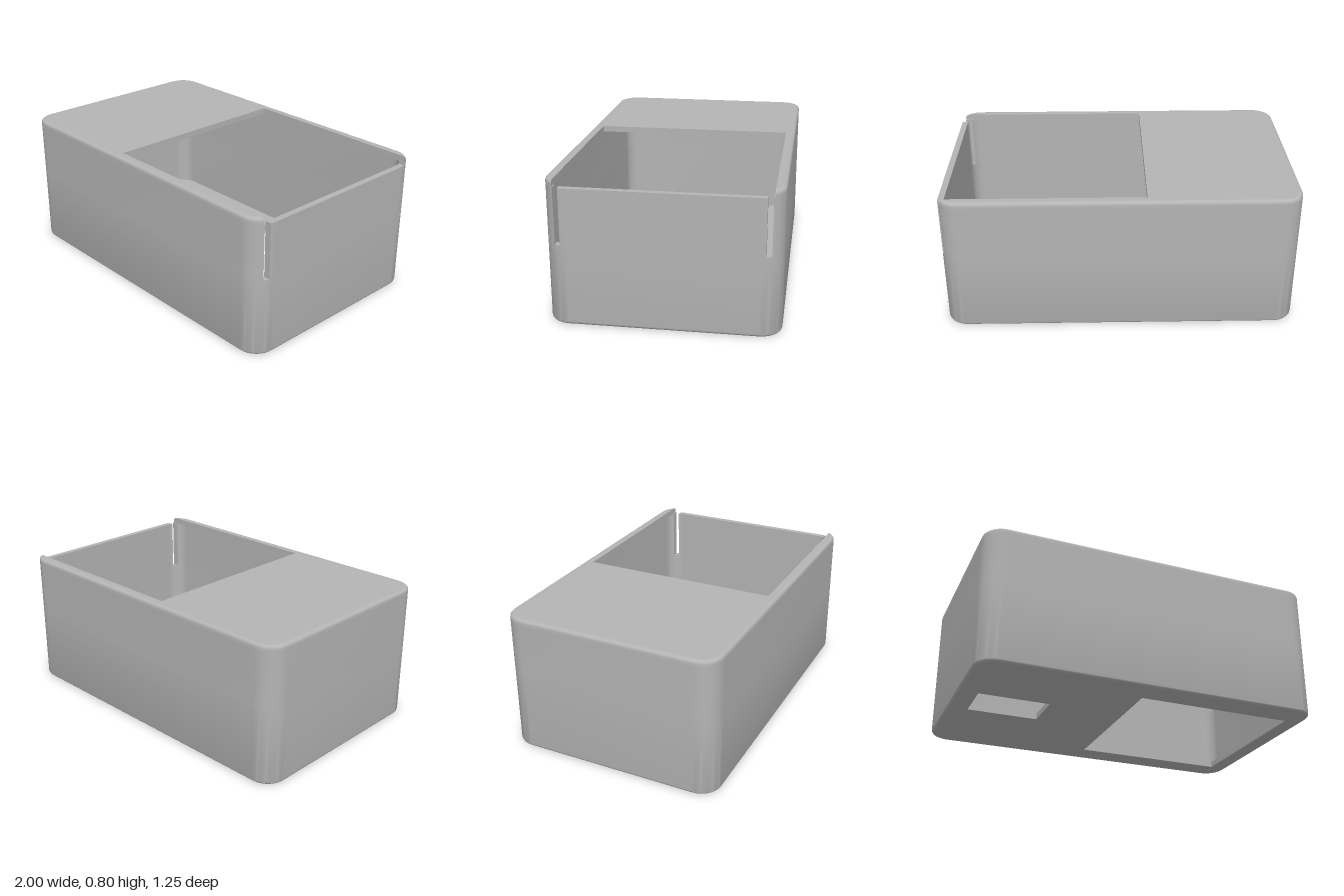
import * as THREE from 'three';
import { toCreasedNormals } from 'three/addons/utils/BufferGeometryUtils.js';

const HALF_X = 1, HALF_Z = 0.625, HEIGHT = 0.8;
const CORNER = 0.12, WALL = 0.035, EDGE = 0.02, STEPS = 12;
const SLOT_BOTTOM = 0.45, TAB_TOP = 0.765;

// Rounded footprint as [x, z] points, running from (+x, zEnd) all round to (+x, -zEnd)
function outline(inset, zEnd) {
  const r = CORNER - inset, cx = HALF_X - CORNER, cz = HALF_Z - CORNER;
  const start = zEnd > cz ? Math.asin((zEnd - cz) / r) : 0;
  const arc = (sx, sz, from, to) => Array.from({ length: STEPS + 1 }, (_, i) => {
    const a = from + (to - from) * i / STEPS;
    return [sx * cx + r * Math.cos(a), sz * cz + r * Math.sin(a)];
  });
  const h = Math.PI / 2;
  const points = [
    ...arc(1, 1, start, h), ...arc(-1, 1, h, 2 * h),
    ...arc(-1, -1, 2 * h, 3 * h), ...arc(1, -1, 3 * h, 4 * h - start),
  ];
  if (zEnd < cz) {
    points.unshift([HALF_X - inset, zEnd]);
    points.push([HALF_X - inset, -zEnd]);
  }
  return points;
}

// Sweeps a closed, convex [inset, y] profile round the footprint
function sweepWall(profile, zEnd) {
  const rails = profile.map(([inset, y]) => outline(inset, zEnd).map(([x, z]) => [x, y, z]));
  const pos = [], n = profile.length, last = rails[0].length - 1;
  const tri = (a, b, c) => pos.push(...a, ...b, ...c);
  for (let j = 0; j < n; j++) {
    const lo = rails[j], hi = rails[(j + 1) % n];
    for (let i = 0; i < last; i++) {
      tri(lo[i], hi[i], lo[i + 1]);
      tri(hi[i], hi[i + 1], lo[i + 1]);
    }
  }
  // end caps, only where the wall is open
  if (zEnd > 0) {
    for (let j = 1; j < n - 1; j++) {
      tri(rails[0][0], rails[j + 1][0], rails[j][0]);
      tri(rails[0][last], rails[j][last], rails[j + 1][last]);
    }
  }
  const g = new THREE.BufferGeometry();
  g.setAttribute('position', new THREE.Float32BufferAttribute(pos, 3));
  return toCreasedNormals(g, 0.5);
}

// Quarter-round edge as [inset, y] points, from the flat side to the vertical side
function roundEdge(y0, dir) {
  return Array.from({ length: 6 }, (_, i) => {
    const a = (i / 5) * Math.PI / 2;
    return [EDGE * (1 - Math.sin(a)), y0 + dir * EDGE * (1 - Math.cos(a))];
  });
}

// Horizontal plate from [x, z] points, between two heights
function plate(points, bottom, top, holes = []) {
  const toVectors = list => list.map(([x, z]) => new THREE.Vector2(x, z));
  const shape = new THREE.Shape(toVectors(points));
  holes.forEach(hole => shape.holes.push(new THREE.Path(toVectors(hole))));
  const g = new THREE.ExtrudeGeometry(shape, { depth: top - bottom, bevelEnabled: false });
  return g.rotateX(Math.PI / 2).translate(0, top, 0);
}

const rect = (x0, x1, z0, z1) => [[x0, z0], [x0, z1], [x1, z1], [x1, z0]];

export function createModel() {
  const group = new THREE.Group();
  group.name = 'enclosure';
  const grey = new THREE.MeshStandardMaterial({ color: 0xb4b4b4 });
  grey.name = 'grey plastic';
  const add = (name, geometry) => {
    const mesh = new THREE.Mesh(geometry, grey);
    mesh.name = name;
    group.add(mesh);
  };

  // Lower wall: full ring with a rounded bottom edge
  add('lowerWall', sweepWall([
    [WALL, 0], ...roundEdge(0, 1), [0, SLOT_BOTTOM], [WALL, SLOT_BOTTOM],
  ], 0));

  // Upper wall: stops at the slots beside the end tab
  add('upperWall', sweepWall([
    [0, SLOT_BOTTOM], [0, TAB_TOP], [WALL, TAB_TOP], [WALL, SLOT_BOTTOM],
  ], 0.565));

  // Top rim: rounded upper edge, open where the lid slides in
  add('topRim', sweepWall([
    [0, TAB_TOP], ...roundEdge(HEIGHT, -1).reverse(), [WALL, HEIGHT], [WALL, TAB_TOP],
  ], 0.57));

  // Flexible end tab between the slots
  add('endTab', plate([
    [0.996, 0.535], [0.999, 0.52], [1, 0.505], [1, -0.505], [0.999, -0.52], [0.996, -0.535],
    [0.959, -0.535], [0.964, -0.52], [0.965, -0.505], [0.965, 0.505], [0.964, 0.52], [0.959, 0.535],
  ], SLOT_BOTTOM, TAB_TOP));

  // Floor with a large window and a small port
  add('floor', plate(outline(WALL, 0), 0, WALL, [
    rect(-0.03, 0.89, -0.46, 0.46),
    rect(-0.885, -0.475, -0.07, 0.18),
  ]));

  // Top panel with the lid opening running out to the tab end
  add('topPanel', plate(
    [...outline(WALL, 0.57), [-0.145, -0.57], [-0.145, 0.57]], TAB_TOP, HEIGHT));

  return group;
}
